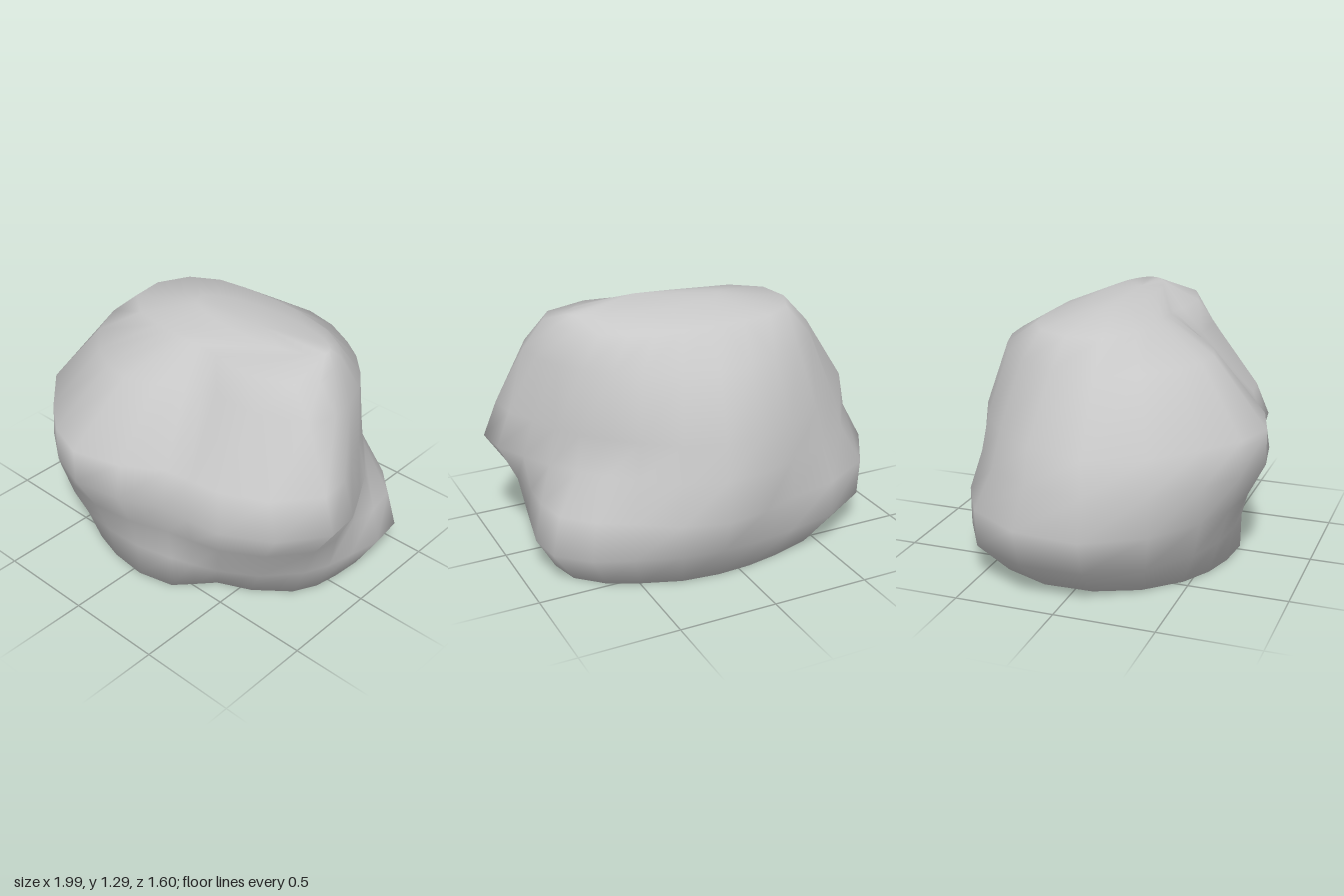
import * as THREE from 'three';

// Compass angles of the bulges and hollows, from the left side (+x) towards the front (+z)
const bearings = [15, 46, 68, 104, 135, 173, 212, 249, 280, 312, 335, 356];

// Horizontal cross-sections: height, then the reach along each bearing
const sections = [
  [0.00, [0.74, 0.56, 0.62, 0.62, 0.66, 0.72, 0.74, 0.64, 0.65, 0.74, 0.85, 0.80]],
  [0.18, [0.82, 0.68, 0.62, 0.65, 0.76, 0.92, 0.92, 0.74, 0.74, 0.84, 0.98, 0.88]],
  [0.37, [0.90, 0.75, 0.65, 0.72, 0.82, 1.00, 0.93, 0.75, 0.82, 0.83, 0.93, 0.87]],
  [0.56, [1.03, 0.86, 0.71, 0.82, 0.84, 0.93, 0.82, 0.73, 0.77, 0.75, 0.80, 0.90]],
  [0.74, [0.96, 0.78, 0.65, 0.82, 0.83, 0.92, 0.77, 0.71, 0.75, 0.72, 0.77, 0.84]],
  [1.06, [0.80, 0.44, 0.40, 0.52, 0.58, 0.66, 0.64, 0.60, 0.63, 0.67, 0.74, 0.81]],
  [1.20, [0.68, 0.32, 0.23, 0.22, 0.28, 0.50, 0.52, 0.41, 0.39, 0.48, 0.62, 0.71]],
];
const COUNT = bearings.length;
const SIDES = COUNT * 2;

// Each bearing, plus the one halfway to its neighbour, in radians
const angles = bearings.flatMap((b, i) => {
  const next = i + 1 < COUNT ? bearings[i + 1] : bearings[0] + 360;
  return [b, (b + next) / 2].map(THREE.MathUtils.degToRad);
});

// Closed loop through the reaches, with smoothly interpolated halfway points
function sectionLoop(y, reach, scale = 1) {
  return angles.map((a, i) => {
    const at = (step) => reach[(Math.floor(i / 2) + step + COUNT) % COUNT];
    const r = scale * (i % 2 ? (9 * (at(0) + at(1)) - at(-1) - at(2)) / 16 : at(0));
    return new THREE.Vector3(Math.cos(a) * r, y, Math.sin(a) * r);
  });
}

// Narrow oval crest that runs from side to side along the top
function crestLoop() {
  return angles.map((a) => new THREE.Vector3(0.24 + Math.cos(a) * 0.41, 1.26, -0.07 + Math.sin(a) * 0.14));
}

// Skin the loops with shared vertices so the surface shades smoothly
function loftBoulder() {
  const [groundY, groundReach] = sections[0];
  const rings = [
    sectionLoop(groundY, groundReach, 0.8), // keeps the underside flat
    ...sections.map(([y, reach]) => sectionLoop(y, reach)),
    crestLoop(),
  ];
  const points = rings.flat();
  const bottom = points.length;
  const top = bottom + 1;
  points.push(new THREE.Vector3(0, 0, 0), new THREE.Vector3(0.27, 1.29, -0.01));

  const index = [];
  const last = (rings.length - 1) * SIDES;
  for (let i = 0; i < SIDES; i++) {
    const k = (i + 1) % SIDES;
    for (let j = 0; j < last; j += SIDES) {
      const a = j + i, b = j + k;
      index.push(a, a + SIDES, b, b, a + SIDES, b + SIDES);
    }
    index.push(bottom, i, k, top, last + k, last + i);
  }

  const geometry = new THREE.BufferGeometry().setFromPoints(points);
  geometry.setIndex(index);
  geometry.computeVertexNormals();
  return geometry;
}

export function createModel() {
  const stone = new THREE.MeshStandardMaterial({ color: 0xc8c8c8 });
  stone.name = 'stoneGrey';

  const boulder = new THREE.Mesh(loftBoulder(), stone);
  boulder.name = 'boulder';

  const model = new THREE.Group();
  model.name = 'rock';
  model.add(boulder);
  return model;
}
